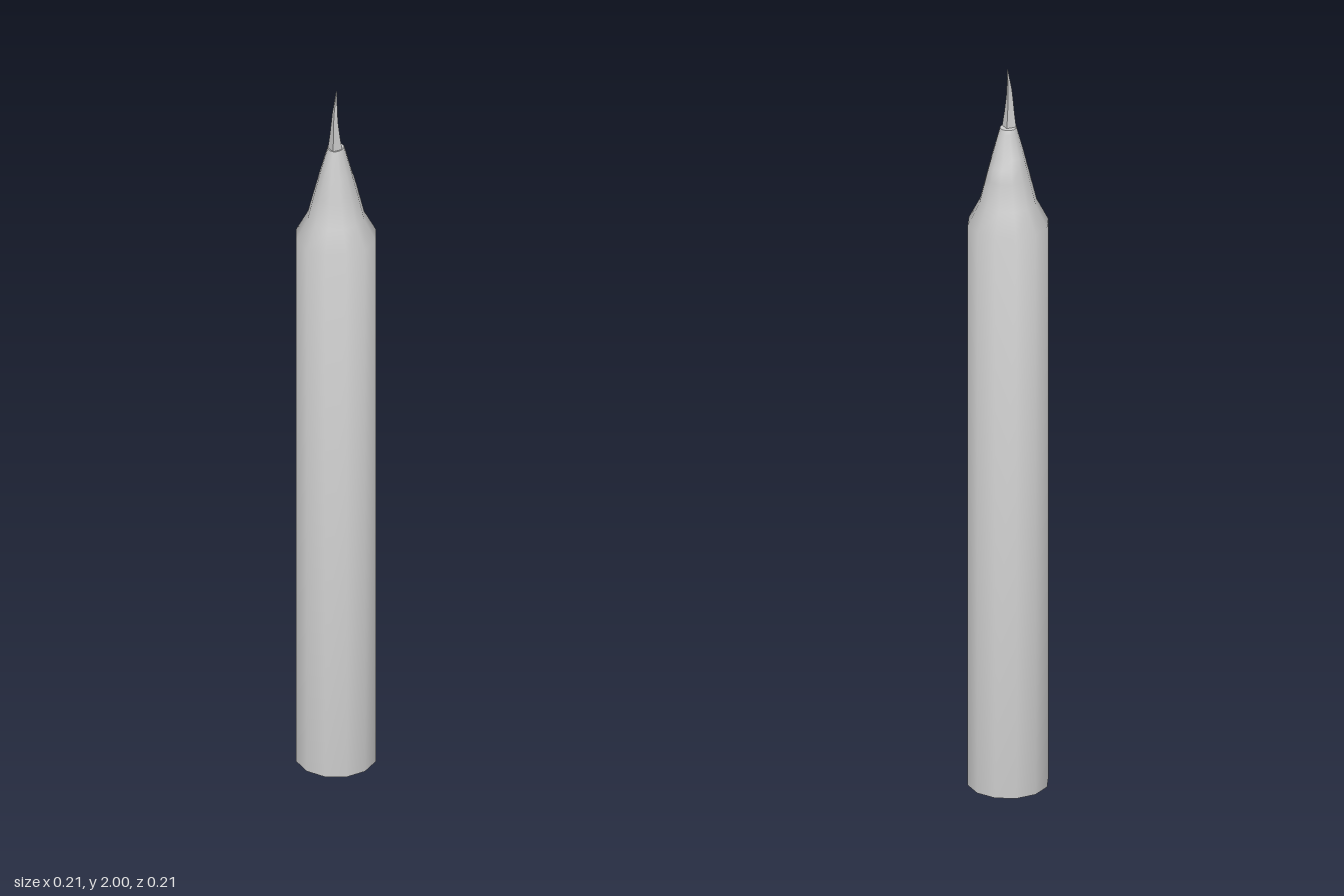
import * as THREE from 'three';
import { toCreasedNormals } from 'three/addons/utils/BufferGeometryUtils.js';

const material = new THREE.MeshStandardMaterial({ color: 0xcccccc });

// Lofts closed rings of [y, halfWidth, frontZ, backZ], capped at both ends.
function loft(rings, sides, crease) {
  const pos = [], index = [];
  for (const [y, rx, zf, zb] of rings) {
    const mid = sides === 4 ? (zf + zb) / 2 : 0;
    for (let i = 0; i < sides; i++) {
      const a = (i / sides) * Math.PI * 2, s = Math.sin(a);
      pos.push(rx * Math.cos(a), y, mid + (s > 0 ? (zf - mid) * s : (mid - zb) * s));
    }
  }
  for (let r = 0; r < rings.length - 1; r++) {
    for (let i = 0; i < sides; i++) {
      const j = (i + 1) % sides, a = r * sides + i, b = r * sides + j;
      index.push(a, a + sides, b, b, a + sides, b + sides);
    }
  }
  const top = (rings.length - 1) * sides;
  for (let i = 1; i < sides - 1; i++) {
    index.push(0, i, i + 1);
    index.push(top, top + i + 1, top + i);
  }
  const g = new THREE.BufferGeometry();
  g.setAttribute('position', new THREE.Float32BufferAttribute(pos, 3));
  g.setIndex(index);
  return toCreasedNormals(g, crease);
}

export function createModel() {
  const group = new THREE.Group();
  const add = (name, geometry) => {
    const mesh = new THREE.Mesh(geometry, material);
    mesh.name = name;
    group.add(mesh);
  };

  // Twelve-sided handle running into a tapered nose, notched at the back
  add('handleAndNose', loft([
    [0, 0.105, 0.105, -0.105],
    [1.57, 0.105, 0.105, -0.105],
    [1.63, 0.074, 0.076, -0.074],
    [1.70, 0.057, 0.06, -0.06],
    [1.735, 0.048, 0.052, -0.052],
    [1.76, 0.042, 0.046, -0.036],
    [1.825, 0.024, 0.03, -0.025],
    [1.836, 0.021, 0.027, -0.02],
  ], 12, 0.9));

  // Slender hooked point
  add('point', loft([
    [1.82, 0.021, 0.028, -0.011],
    [1.87, 0.014, 0.026, -0.004],
    [1.915, 0.009, 0.023, 0.002],
    [1.94, 0.007, 0.02, 0.001],
    [2.0, 0.0008, -0.003, -0.005],
  ], 4, 0.6));

  return group;
}
